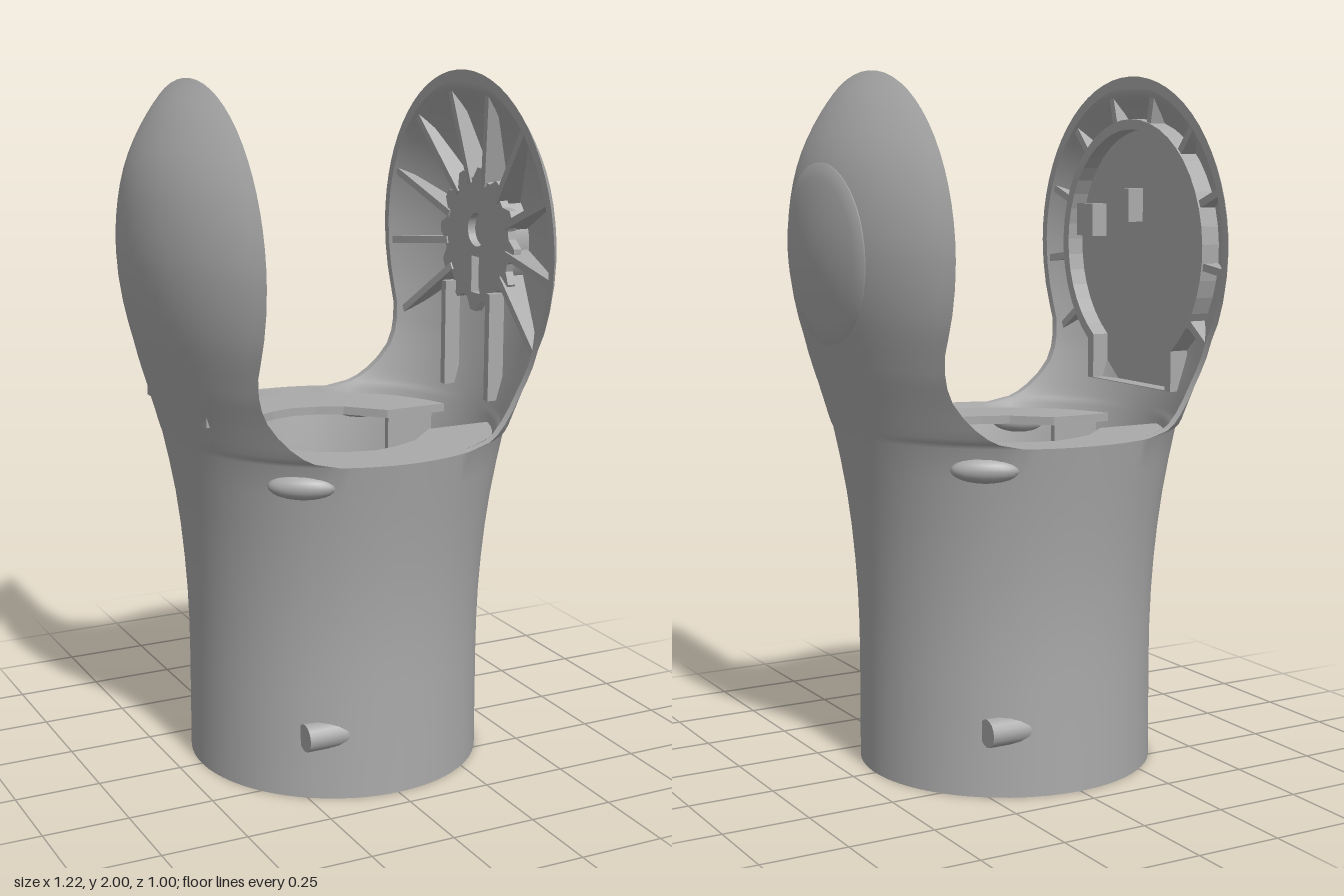
import * as THREE from 'three';
import { mergeVertices, mergeGeometries } from 'three/addons/utils/BufferGeometryUtils.js';

const grey = new THREE.MeshStandardMaterial({ color: 0xaaaaaa, side: THREE.DoubleSide });
grey.name = 'plain grey';

const RIM = 0.99, WALL = 0.025, HUB_Y = 1.5;

// Smooth curve through [position, value] pairs
function curve(pts) {
  const slope = (i) => {
    const a = pts[Math.max(i - 1, 0)], b = pts[Math.min(i + 1, pts.length - 1)];
    return (b[1] - a[1]) / (b[0] - a[0]);
  };
  return (y) => {
    let i = 0;
    while (i < pts.length - 2 && y > pts[i + 1][0]) i++;
    const [y0, v0] = pts[i], [y1, v1] = pts[i + 1], h = y1 - y0;
    const t = THREE.MathUtils.clamp((y - y0) / h, 0, 1), t2 = t * t, t3 = t2 * t;
    return v0 * (2 * t3 - 3 * t2 + 1) + v1 * (3 * t2 - 2 * t3) +
      slope(i) * h * (t3 - 2 * t2 + t) + slope(i + 1) * h * (t3 - t2);
  };
}

// Half width, half depth, and the edge of the U-shaped opening, by height
const halfX = curve([[0, .43], [.4, .43], [.6, .44], [.8, .462], [1, .502], [1.2, .552], [1.4, .595],
  [1.55, .605], [1.7, .59], [1.8, .56], [1.9, .508], [1.95, .472], [2, .43]]);
const halfZ = curve([[0, .43], [.4, .43], [.6, .442], [.8, .468], [.99, .5]]);
const neckX = curve([[.99, .2], [1.005, .27], [1.045, .33], [1.12, .39], [1.2, .42], [1.28, .43]]);
const neckZ = curve([[.99, .458], [1.005, .445], [1.045, .425], [1.12, .406], [1.2, .42], [1.25, .434]]);

function section(y, t) {
  const a = halfX(y) - t;
  if (y <= RIM) {
    const b = halfZ(y) - t;
    return { a, b, ex: .2, ez: b * Math.sqrt(1 - .04 / (a * a)) };
  }
  const ex = y < 1.28 ? neckX(y) : .43;
  const ez = y < 1.25 ? neckZ(y) : Math.sqrt(Math.max(0, .25 - (y - HUB_Y) ** 2));
  return { a: Math.max(a, ex), ex, ez: Math.max(0, ez - t) };
}
const inset = (y, t) => (y > HUB_Y ? HUB_Y + (y - HUB_Y) * (1 - t / .5) : y);
function sidePoint(y, s, t) {
  const { a, ex, ez } = section(y, t);
  return [a * Math.sqrt(Math.max(0, 1 - s * s * (1 - (ex / a) ** 2))), inset(y, t), ez * s];
}
function panelPoint(y, x, t) {
  const { a, b } = section(y, t);
  return [x, y, b * Math.sqrt(1 - (x / a) ** 2)];
}

// Surface from a grid of points f(i, j)
function patch(nu, nv, f, flip = false) {
  const pos = [], idx = [];
  for (let j = 0; j <= nv; j++) for (let i = 0; i <= nu; i++) pos.push(...f(i, j));
  for (let j = 0; j < nv; j++) for (let i = 0; i < nu; i++) {
    const a = j * (nu + 1) + i, b = a + 1, d = a + nu + 1, c = d + 1;
    if (flip) idx.push(a, c, b, a, d, c);
    else idx.push(a, b, c, a, c, d);
  }
  const g = new THREE.BufferGeometry();
  g.setAttribute('position', new THREE.Float32BufferAttribute(pos, 3));
  g.setIndex(idx);
  return g;
}
const turned = (g) => g.clone().rotateY(Math.PI);
function weld(parts) {
  const g = mergeVertices(mergeGeometries(parts), 1e-4);
  g.computeVertexNormals();
  return g;
}

// Extrude a shape drawn in (z, y) along +x, from x0 to x1
function plateX(shape, x0, x1) {
  const g = new THREE.ExtrudeGeometry(shape, { depth: x1 - x0, bevelEnabled: false, curveSegments: 32 });
  g.applyMatrix4(new THREE.Matrix4().makeBasis(
    new THREE.Vector3(0, 0, -1), new THREE.Vector3(0, 1, 0), new THREE.Vector3(1, 0, 0)));
  return g.translate(x0, 0, 0);
}
const polygon = (pts) => new THREE.Shape(pts.map(([x, y]) => new THREE.Vector2(x, y)));

// Rib pointing away from the ear centre; profile is in (radius, x)
function radialRib(profile, angle) {
  const g = new THREE.ExtrudeGeometry(polygon(profile), { depth: .022, bevelEnabled: false }).translate(0, 0, -.011);
  const r = new THREE.Vector3(0, Math.sin(angle), Math.cos(angle)), x = new THREE.Vector3(1, 0, 0);
  g.applyMatrix4(new THREE.Matrix4().makeBasis(r, x, r.clone().cross(x)));
  return g.translate(0, HUB_Y, 0);
}

// Keyhole outline: a round head with a straight neck
function keyhole(r, w, bottom) {
  const a = Math.acos(w / r), pts = [[-w, bottom], [w, bottom]];
  for (let i = 0; i <= 36; i++) {
    const t = -a + (Math.PI + 2 * a) * i / 36;
    pts.push([r * Math.cos(t), HUB_Y + r * Math.sin(t)]);
  }
  return pts;
}

export function createModel() {
  const model = new THREE.Group();
  const add = (name, geometry, parent = model) => {
    const m = new THREE.Mesh(geometry, grey);
    m.name = name;
    parent.add(m);
    return m;
  };

  // Sleeve and ears: outer and inner skins
  const low = [0, .15, .3, .4, .5, .6, .7, .8, .9, RIM];
  const high = [RIM, 1.005, 1.02, 1.045, 1.08, 1.12, 1.16, 1.2, 1.25, 1.3, 1.36, 1.43];
  for (let k = 0; k <= 16; k++) high.push(HUB_Y + .5 * Math.sin(k * Math.PI / 32));
  const all = [...low, ...high.slice(1)];
  const skin = (t, flip) => {
    const side = patch(32, all.length - 1, (i, j) => sidePoint(all[j], 1 - i / 16, t), flip);
    const panel = patch(12, low.length - 1, (i, j) => panelPoint(low[j], -.2 + i / 30, t), flip);
    return weld([side, turned(side), panel, turned(panel)]);
  };
  add('outerShell', skin(0, false));
  add('innerShell', skin(WALL, true));

  // Rims closing the wall thickness
  const rims = [];
  for (const s of [1, -1])
    rims.push(patch(1, high.length - 1, (i, j) => sidePoint(high[j], s, i * WALL), s > 0));
  rims.push(patch(12, 1, (i, j) => panelPoint(RIM, -.2 + i / 30, j * WALL)));
  rims.push(patch(32, 1, (i, j) => sidePoint(0, 1 - i / 16, j * WALL), true));
  rims.push(patch(12, 1, (i, j) => panelPoint(0, -.2 + i / 30, j * WALL), true));
  add('shellRims', weld([...rims, ...rims.map(turned)]));

  // Round cap on the left ear
  const cap = patch(48, 7, (i, j) => {
    const r = Math.min(j, 6) / 6 * .25, p = i / 24 * Math.PI;
    const y = HUB_Y + r * Math.sin(p), z = r * Math.cos(p);
    return [sidePoint(y, z / section(y, 0).ez, 0)[0] + (j < 7 ? .005 : -.005), y, z];
  });
  add('earCap', weld([cap]));

  // Details repeated front and back by a half turn
  for (const back of [false, true]) {
    const half = new THREE.Group();
    half.name = back ? 'backHalf' : 'frontHalf';
    if (back) half.rotation.y = Math.PI;
    model.add(half);

    add('seam', weld([patch(1, low.length - 1, (i, j) => {
      const p = panelPoint(low[j], -.003 + i * .006, 0);
      return [p[0], p[1], p[2] + .002];
    })]), half);

    // Ledge inside the opening
    const ledge = [[-.25, .13], [-.15, .23], [-.07, .265], [0, .28], [.07, .265], [.15, .23], [.25, .13]];
    for (let i = 0; i <= 24; i++) {
      const p = .285 + (Math.PI - .57) * i / 24;
      ledge.push([.466 * Math.cos(p), .466 * Math.sin(p)]);
    }
    add('ledge', new THREE.ExtrudeGeometry(polygon(ledge), { depth: .025, bevelEnabled: false })
      .rotateX(Math.PI / 2).translate(0, .975, 0), half);
    for (const s of [1, -1])
      add('ledgeWeb', new THREE.BoxGeometry(.15, .2, .02).translate(s * .33, .86, .145), half);

    // Screw bosses lying across the wall
    add('lowerScrewBoss', new THREE.CylinderGeometry(.04, .04, .16, 16)
      .rotateZ(Math.PI / 2).translate(-.185, .19, .365), half);
    add('upperScrewBoss', new THREE.SphereGeometry(1, 20, 12)
      .scale(.095, .036, .04).rotateY(-.55).translate(-.28, .93, .385), half);
  }

  // Left ear interior: ribs running from a toothed hub
  const left = new THREE.Group();
  left.name = 'leftEarInterior';
  model.add(left);
  for (let k = 0; k < 10; k++)
    add('radialRib', radialRib([[.17, .47], [.48, .435], [.455, .458], [.36, .49], [.17, .55]],
      (-35 + 250 * k / 9) * Math.PI / 180), left);
  const teeth = [];
  for (let k = 0; k < 48; k++) {
    const r = k % 4 < 2 ? .215 : .185, p = k / 24 * Math.PI;
    teeth.push([r * Math.cos(p), HUB_Y + r * Math.sin(p)]);
  }
  const hub = polygon(teeth);
  hub.holes.push(new THREE.Path().absarc(0, HUB_Y + .03, .05, 0, Math.PI * 2));
  hub.holes.push(new THREE.Path([[-.025, 1.34], [.025, 1.34], [.025, 1.45], [-.025, 1.45]]
    .map(([x, y]) => new THREE.Vector2(x, y))));
  add('hubPlate', plateX(hub, .475, .5), left);
  add('hubCore', new THREE.CylinderGeometry(.16, .16, .05, 32).rotateZ(Math.PI / 2).translate(.535, HUB_Y, 0), left);
  for (const s of [1, -1])
    add('neckRib', new THREE.BoxGeometry(.05, .32, .025).translate(.465, 1.2, s * .13), left);

  // Right ear interior: keyhole wall, floor, short ribs and two bosses
  const right = new THREE.Group();
  right.name = 'rightEarInterior';
  right.rotation.y = Math.PI;
  model.add(right);
  const wall = polygon(keyhole(.375, .225, 1.08));
  wall.holes.push(new THREE.Path(keyhole(.345, .195, 1.082).map(([x, y]) => new THREE.Vector2(x, y))));
  add('keyholeWall', plateX(wall, .432, .49), right);
  add('keyholeFloor', plateX(polygon(keyhole(.35, .2, 1.08)), .484, .49), right);
  for (let k = 0; k < 10; k++)
    add('rimRib', radialRib([[.37, .438], [.48, .435], [.455, .458], [.37, .49]],
      (-35 + 250 * k / 9) * Math.PI / 180), right);
  for (const [y, z] of [[1.62, -.05], [1.57, -.25]])
    add('boss', new THREE.BoxGeometry(.055, .1, .09).translate(.46, y, z), right);

  return model;
}
